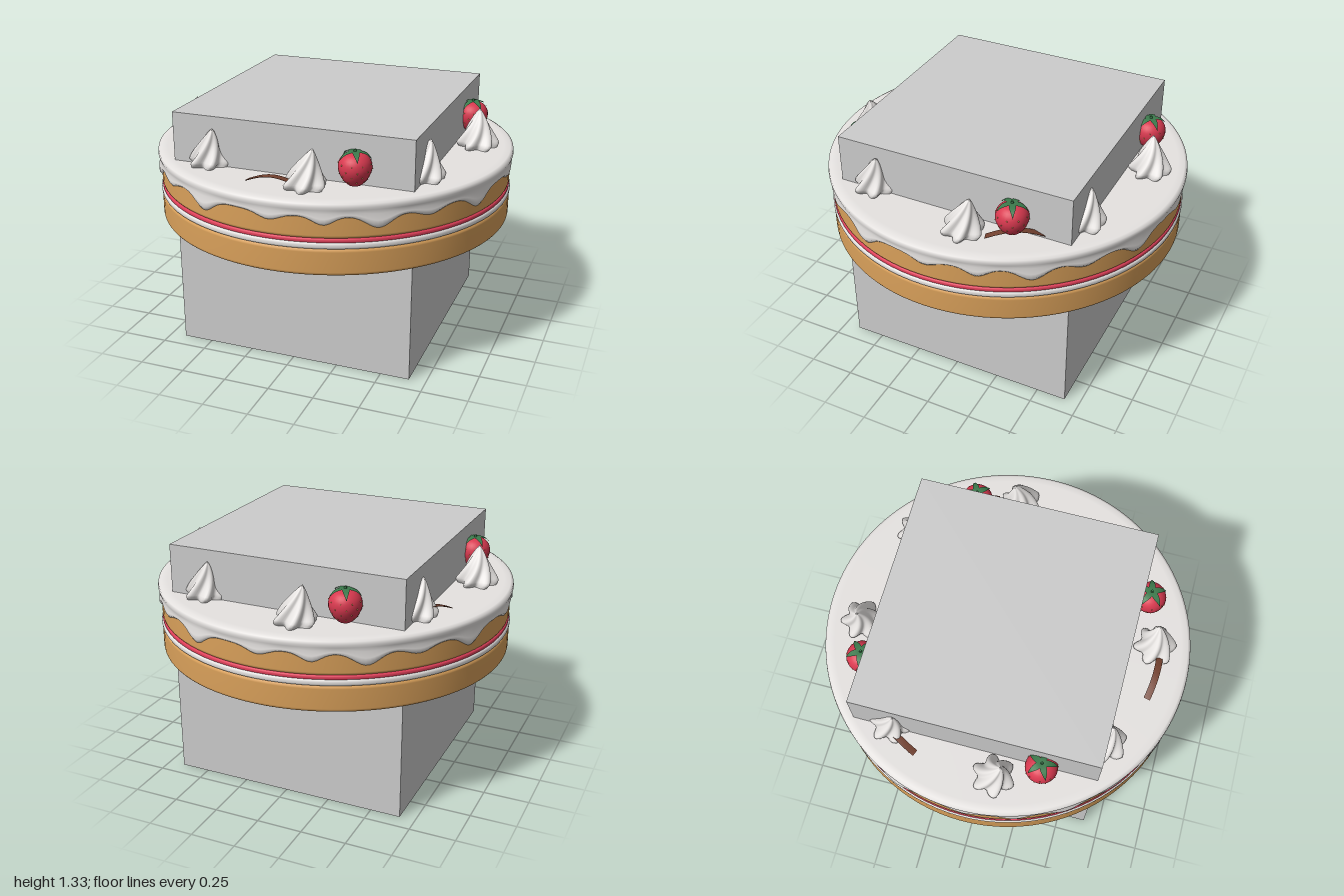
import * as THREE from 'three';
import { mergeVertices } from 'three/addons/utils/BufferGeometryUtils.js';
import { ParametricGeometry } from 'three/addons/geometries/ParametricGeometry.js';

const mat = (name, color, extra = {}) => {
  const m = new THREE.MeshStandardMaterial({ color, ...extra });
  m.name = name;
  return m;
};
const DEG = Math.PI / 180;
const TOP = 1.06;

// Closed smooth surface from f(u, v, target), welded so the seam shades smoothly
function surface(f, slices, stacks) {
  const g = new ParametricGeometry(f, slices, stacks);
  g.deleteAttribute('uv');
  g.deleteAttribute('normal');
  const m = mergeVertices(g, 1e-5);
  m.computeVertexNormals();
  return m;
}

// Round cake layer with softened edges
function discGeometry(r, y0, y1, b) {
  const pts = [[0.001, y0], [r - b * 1.5, y0], [r - b, y0]];
  for (let i = 1; i <= 4; i++) pts.push([r - b + b * Math.sin(i * 22.5 * DEG), y0 + b - b * Math.cos(i * 22.5 * DEG)]);
  for (let i = 0; i <= 4; i++) pts.push([r - b + b * Math.cos(i * 22.5 * DEG), y1 - b + b * Math.sin(i * 22.5 * DEG)]);
  pts.push([r - b * 1.5, y1], [0.001, y1]);
  return new THREE.LatheGeometry(pts.map(p => new THREE.Vector2(...p)), 96);
}

// Frosting: lower edge hangs in drips that repeat every quarter turn
const DRIPS = [[-22, 0.07, 5], [1, 0.035, 4.5], [17, 0.045, 4], [33, 0.065, 5], [49, 0.035, 5]];
function dripDepth(deg) {
  let d = 0;
  for (const [c, depth, w] of DRIPS) {
    const k = (((deg - c + 45) % 90) + 90) % 90 - 45;
    d += depth * Math.exp(-((k / w) ** 2));
  }
  return d;
}
function frostingGeometry() {
  const stacks = 10;
  return surface((u, v, t) => {
    const a = u * 2 * Math.PI;
    const d = dripDepth(u * 360);
    const yb = 0.985 - d, h = 1.015 - yb, out = d * 0.1;
    const profile = [
      [0.966, yb + 0.004], [0.98, yb], [0.986 + out, yb + h * 0.2], [0.985 + out, yb + h * 0.45],
      [0.985, yb + h * 0.8], [0.989, 1.02], [0.993, 1.035], [0.99, 1.052], [0.975, TOP], [0.94, TOP + 0.002], [0.001, TOP + 0.002],
    ];
    const [r, y] = profile[Math.round(v * stacks)];
    t.set(Math.sin(a) * r, y, Math.cos(a) * r);
  }, 288, stacks);
}

// Piped cream star: six twisted ridges rising to a leaning tip
function dollopGeometry() {
  return surface((u, v, t) => {
    const a = u * 2 * Math.PI;
    const fade = 0.2 * (1 - v * 0.7);
    const env = v < 0.12 ? 0.088 + v * 0.1 : 0.1 * Math.pow((1 - v) / 0.88, 0.8);
    const r = Math.max(env * (1 + fade * Math.cos(6 * a)), 0.0008);
    const b = a + v * 1.1;
    t.set(Math.sin(b) * r + 0.04 * v * v, v * 0.205, Math.cos(b) * r);
  }, 60, 18);
}

// Strawberry radius at height y above its tip
const BERRY_H = 0.175;
const berryProfile = [[0.001, 0], [0.032, 0.008], [0.06, 0.035], [0.078, 0.068], [0.085, 0.1], [0.078, 0.135], [0.055, 0.162], [0.025, 0.173], [0.001, BERRY_H]];
const berryCurve = new THREE.SplineCurve(berryProfile.map(p => new THREE.Vector2(...p)));

function leafGeometry() {
  // Pointed sepal draped from the crown down over the shoulder
  return new ParametricGeometry((u, v, t) => {
    const w = 0.02 * Math.sin(Math.PI * (0.2 + 0.8 * v)) * (1 - v * 0.4);
    const p = berryCurve.getPoint(1 - v * 0.38);
    t.set((u - 0.5) * 2 * w, p.y + 0.005 + 0.003 * v, p.x + 0.005);
  }, 4, 8);
}

export function createModel() {
  const cream = mat('cream', 0xe6e3e1);
  const sponge = mat('sponge', 0xd9a05a);
  const jam = mat('jam', 0xe0405a);
  const berryRed = mat('berry red', 0xd8394f);
  const leafGreen = mat('leaf green', 0x3c7a4c, { side: THREE.DoubleSide });
  const seedYellow = mat('seed yellow', 0xe6b85c);
  const chocolate = mat('chocolate', 0x73412f);
  const grey = mat('block grey', 0xcccccc);

  const model = new THREE.Group();
  const add = (parent, name, geometry, material) => {
    const m = new THREE.Mesh(geometry, material);
    m.name = name;
    parent.add(m);
    return m;
  };
  // Places a new group on the cake top, u degrees round from the front
  const place = (name, u, r, y) => {
    const g = new THREE.Group();
    g.name = name;
    g.position.set(Math.sin(u * DEG) * r, y, Math.cos(u * DEG) * r);
    g.rotation.y = u * DEG;
    model.add(g);
    return g;
  };

  // Block through the middle
  add(model, 'block', new THREE.BoxGeometry(1.323, 1.327, 1.323), grey).position.set(-0.003, 0.6635, -0.003);

  // Cake layers
  add(model, 'lowerSponge', discGeometry(0.982, 0.668, 0.816, 0.02), sponge);
  add(model, 'creamFilling', discGeometry(0.985, 0.812, 0.848, 0.014), cream);
  add(model, 'jamFilling', discGeometry(0.979, 0.842, 0.868, 0.01), jam);
  add(model, 'upperSponge', discGeometry(0.978, 0.864, 1.04, 0.02), sponge);
  add(model, 'frosting', frostingGeometry(), cream);

  // Eight cream stars
  const dollop = dollopGeometry();
  for (let i = 0; i < 8; i++) add(place('creamStar', 9.5 + i * 45, 0.795, TOP), 'creamStarBody', dollop, cream);

  // Four strawberries
  const berry = new THREE.LatheGeometry(berryCurve.getPoints(24), 28);
  const leaf = leafGeometry();
  const seed = new THREE.SphereGeometry(0.0035, 6, 4);
  for (let i = 0; i < 4; i++) {
    const g = place('strawberry', 27.5 + i * 90, 0.785, TOP + 0.008);
    add(g, 'berry', berry, berryRed);
    for (let k = 0; k < 5; k++) add(g, 'leaf', leaf, leafGreen).rotation.y = k * 72 * DEG;
    add(g, 'stem', new THREE.CylinderGeometry(0.006, 0.009, 0.018, 8), leafGreen).position.y = BERRY_H + 0.007;
    for (let row = 0; row < 4; row++) {
      const p = berryCurve.getPoint(0.25 + row * 0.11);
      for (let k = 0; k < 9; k++) {
        const a = (k + (row % 2) / 2) * 40 * DEG;
        add(g, 'seed', seed, seedYellow).position.set(Math.sin(a) * p.x, p.y, Math.cos(a) * p.x);
      }
    }
  }

  // Three arched chocolate shavings following the rim
  const shaving = surface((u, v, t) => {
    const a = (v - 0.5) * 21 * DEG;
    const corner = [[-0.018, -0.002], [-0.018, 0.002], [0.018, 0.002], [0.018, -0.002], [-0.018, -0.002]][Math.round(u * 4)];
    const r = 0.824 + corner[0];
    t.set(Math.sin(a) * r, 0.01 + 0.042 * Math.sin(Math.PI * v) + corner[1], Math.cos(a) * r);
  }, 4, 20);
  chocolate.side = THREE.DoubleSide;
  for (let i = 0; i < 3; i++) add(place('chocolateShaving', -1.4 + i * 120, 0, TOP), 'shavingStrip', shaving, chocolate);

  return model;
}
